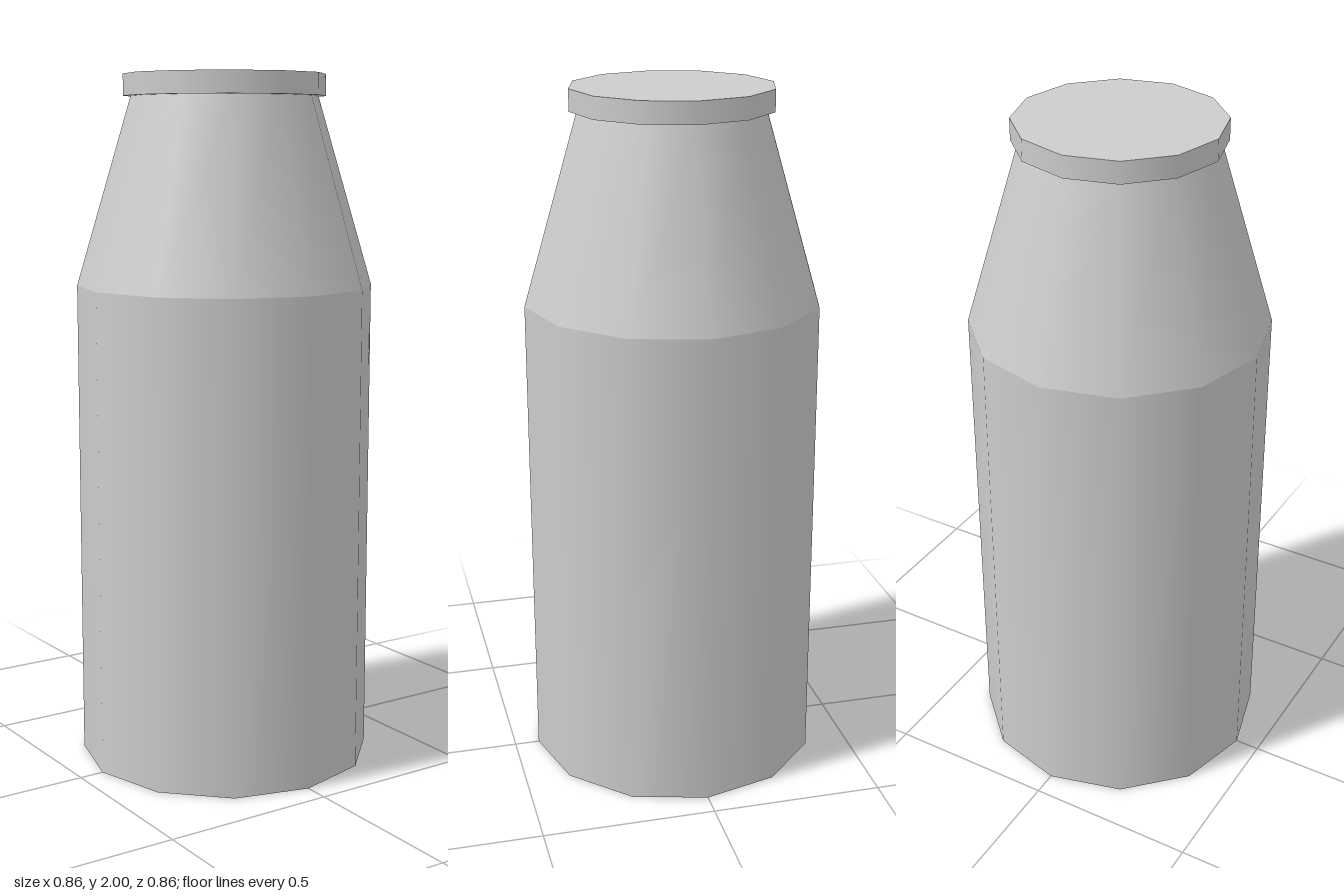
import * as THREE from 'three';

const SIDES = 12;

export function createModel() {
  const bottle = new THREE.Group();
  bottle.name = 'bottle';
  const grey = new THREE.MeshStandardMaterial({ name: 'light grey', color: 0xcccccc });

  // Adds one smooth twelve-sided section between two heights
  const addSection = (name, bottomRadius, topRadius, y0, y1, open = false) => {
    const geometry = new THREE.CylinderGeometry(topRadius, bottomRadius, y1 - y0, SIDES, 1, open);
    const mesh = new THREE.Mesh(geometry, grey);
    mesh.name = name;
    mesh.position.y = (y0 + y1) / 2;
    bottle.add(mesh);
  };

  // Straight body with its flat base
  addSection('body', 0.428, 0.428, 0, 1.4);
  // Tapering shoulder, closed off by the body and cap
  addSection('shoulder', 0.428, 0.268, 1.4, 1.94, true);
  // Overhanging flat cap
  addSection('cap', 0.29, 0.29, 1.938, 2);

  return bottle;
}
